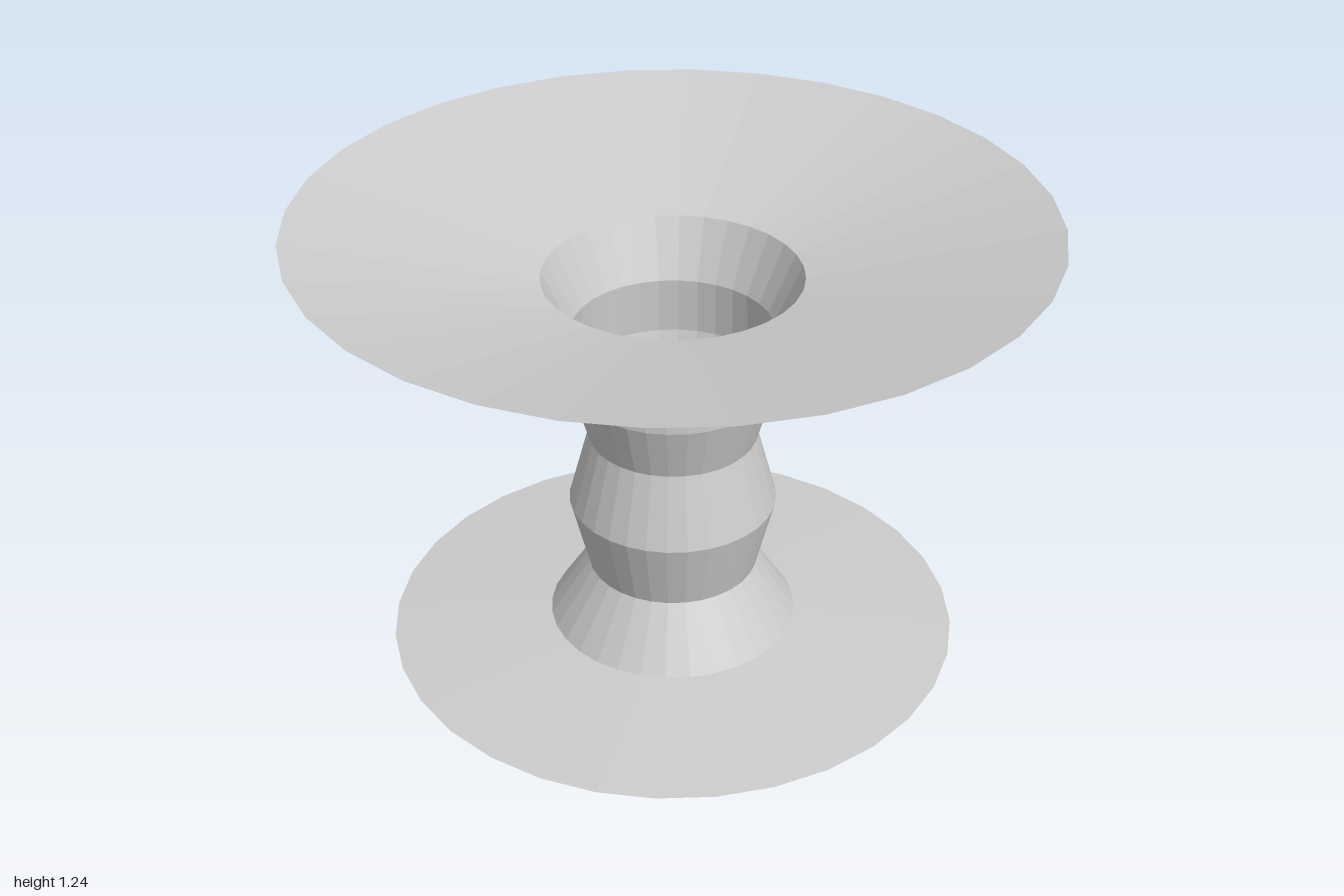
import * as THREE from 'three';

const SIDES = 32;

// Thin open surface of revolution from [radius, height] pairs, bottom to top
function turned(name, profile, material) {
  const points = profile.map(([r, y]) => new THREE.Vector2(r, y));
  const mesh = new THREE.Mesh(new THREE.LatheGeometry(points, SIDES), material);
  mesh.name = name;
  return mesh;
}

export function createModel() {
  const group = new THREE.Group();
  group.name = 'pedestalTable';
  const material = new THREE.MeshStandardMaterial({
    color: 0xcccccc, flatShading: true, side: THREE.DoubleSide,
  });

  // Shallow conical foot, open in the middle
  const foot = [[0.79, 0], [0.345, 0.034]];

  // Hollow faceted column with pinched and swollen rings
  const column = [
    [0.345, 0.034], [0.235, 0.204], [0.285, 0.407], [0.23, 0.612],
    [0.275, 0.77], [0.27, 0.927], [0.345, 1.088],
  ];

  // Wide dished top, open in the middle
  const dish = [[0.345, 1.088], [1, 1.244]];

  group.add(
    turned('foot', foot, material),
    turned('column', column, material),
    turned('dishedTop', dish, material),
  );
  return group;
}
